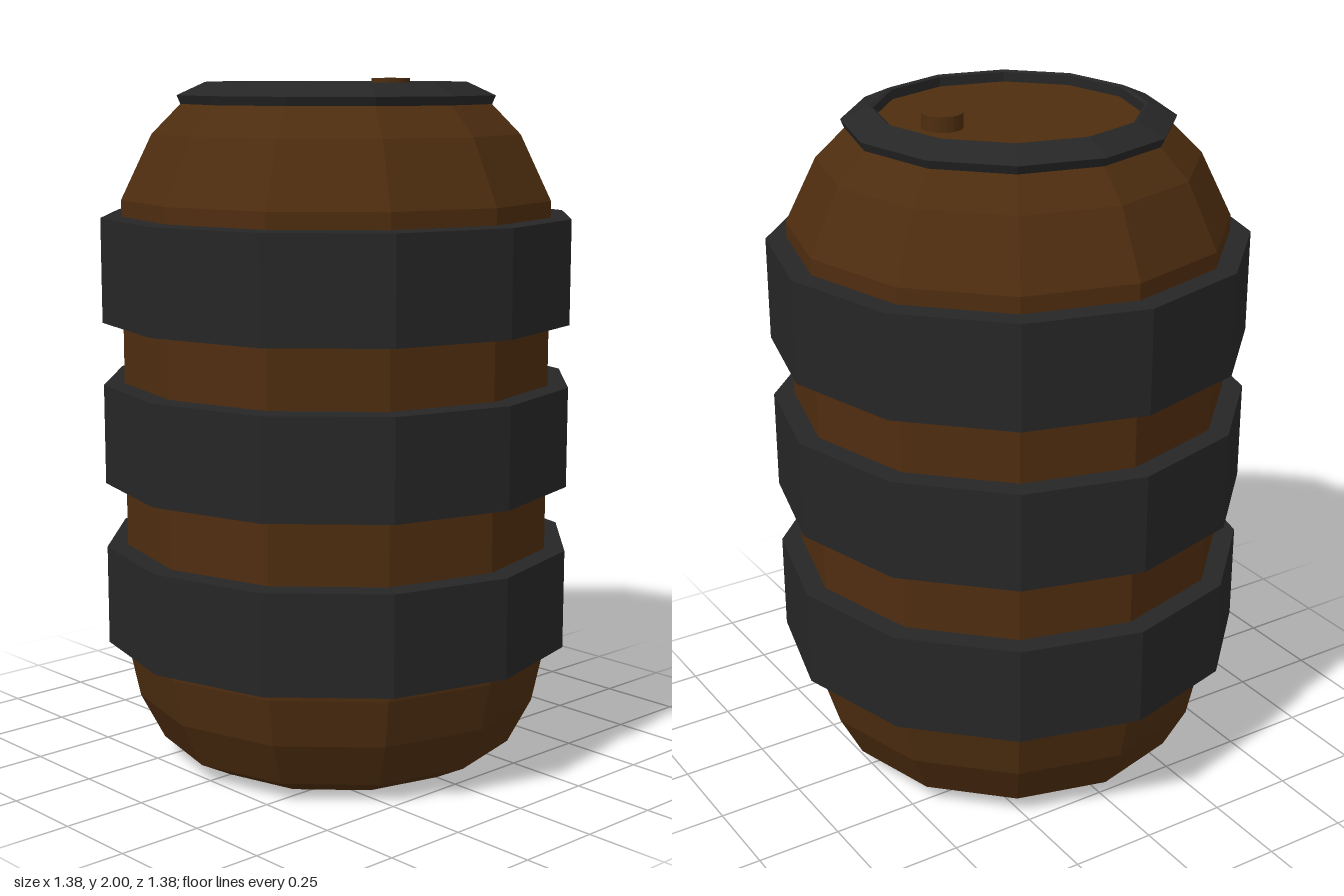
import * as THREE from 'three';

const SIDES = 12;

// Faceted solid turned around the y axis from [radius, height] points
function turned(name, points, material) {
  const profile = points.map(([r, y]) => new THREE.Vector2(r, y));
  const mesh = new THREE.Mesh(new THREE.LatheGeometry(profile, SIDES), material);
  mesh.name = name;
  return mesh;
}

export function createModel() {
  const wood = new THREE.MeshStandardMaterial({ color: 0x4e2d0f, flatShading: true });
  wood.name = 'brown wood';
  const iron = new THREE.MeshStandardMaterial({ color: 0x262626, flatShading: true });
  iron.name = 'dark iron';

  const barrel = new THREE.Group();
  barrel.name = 'barrel';

  // Wooden body with rounded ends and a lid sunk inside the rim
  barrel.add(turned('body', [
    [0, 0], [0.425, 0], [0.53, 0.055], [0.6, 0.19], [0.63, 0.33],
    [0.63, 1.66], [0.54, 1.845], [0.45, 1.935], [0.4, 1.957], [0, 1.957],
  ], wood));

  // Three wide hoops
  [['lowerHoop', 0.36, 0.65], ['middleHoop', 0.84, 1.13], ['upperHoop', 1.31, 1.61]]
    .forEach(([name, bottom, top]) => {
      barrel.add(turned(name, [
        [0.6, bottom], [0.69, bottom], [0.69, top], [0.6, top + 0.005], [0.6, bottom],
      ], iron));
    });

  // Bevelled rim around the lid
  barrel.add(turned('rim', [
    [0.375, 1.925], [0.455, 1.925], [0.467, 1.953], [0.385, 1.99], [0.375, 1.985], [0.375, 1.925],
  ], iron));

  // Small bung towards the back of the lid
  const bung = new THREE.Mesh(new THREE.CylinderGeometry(0.058, 0.058, 0.06, 20), wood);
  bung.name = 'bung';
  bung.position.set(0, 1.97, -0.215);
  barrel.add(bung);

  return barrel;
}
